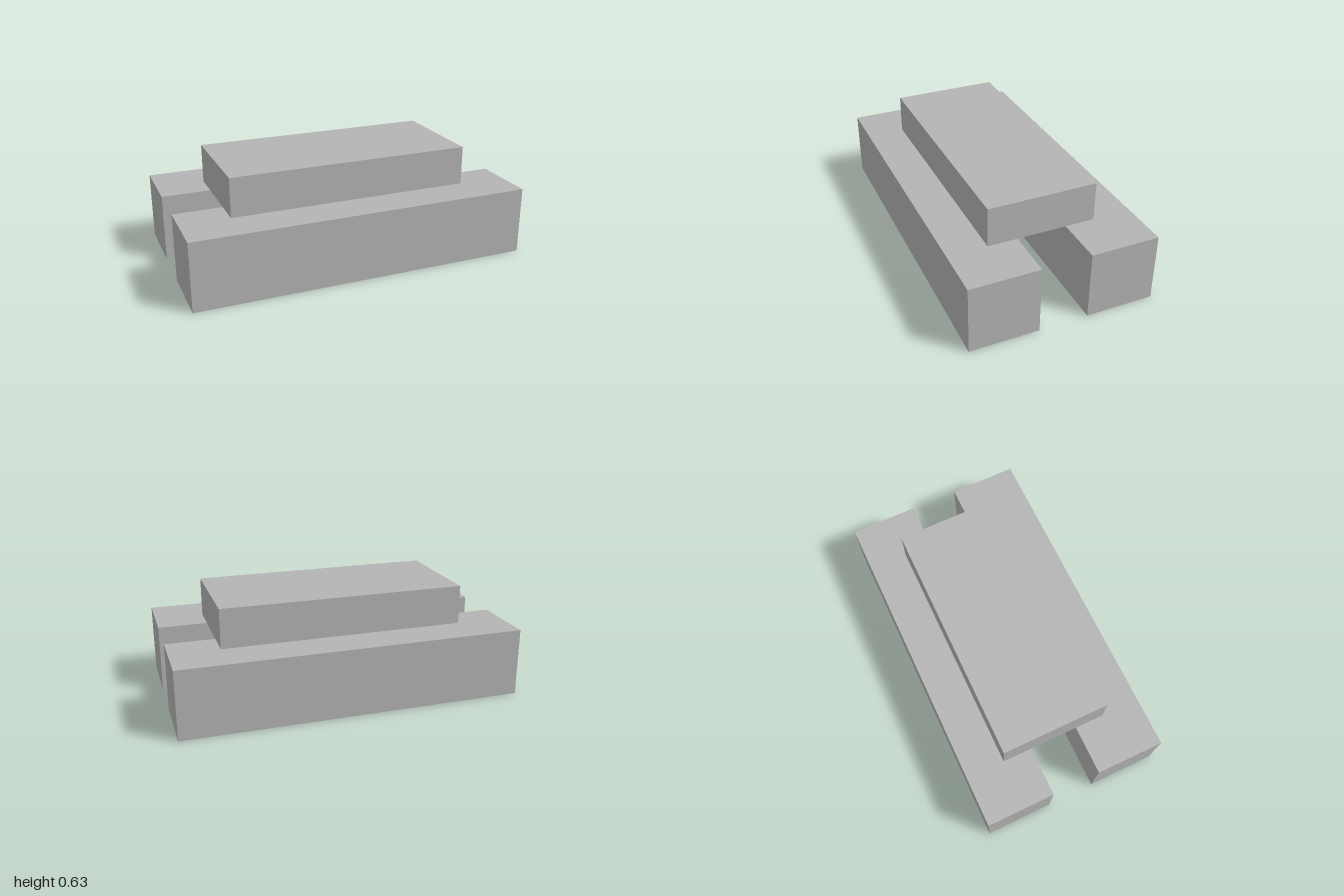
import * as THREE from 'three';

export function createModel() {
  const group = new THREE.Group();
  const grey = new THREE.MeshStandardMaterial({ color: 0xb4b4b4 });
  grey.name = 'grey';

  const addBlock = (name, size, position) => {
    const mesh = new THREE.Mesh(new THREE.BoxGeometry(...size), grey);
    mesh.name = name;
    mesh.position.set(...position);
    group.add(mesh);
  };

  // Two parallel beams with a gap between them
  addBlock('frontBeam', [2, 0.4, 0.4], [0, 0.2, 0.343]);
  addBlock('backBeam', [2, 0.4, 0.4], [0, 0.2, -0.343]);

  // Slab bridging the gap
  addBlock('topSlab', [1.428, 0.229, 0.63], [0, 0.5145, 0]);

  return group;
}
